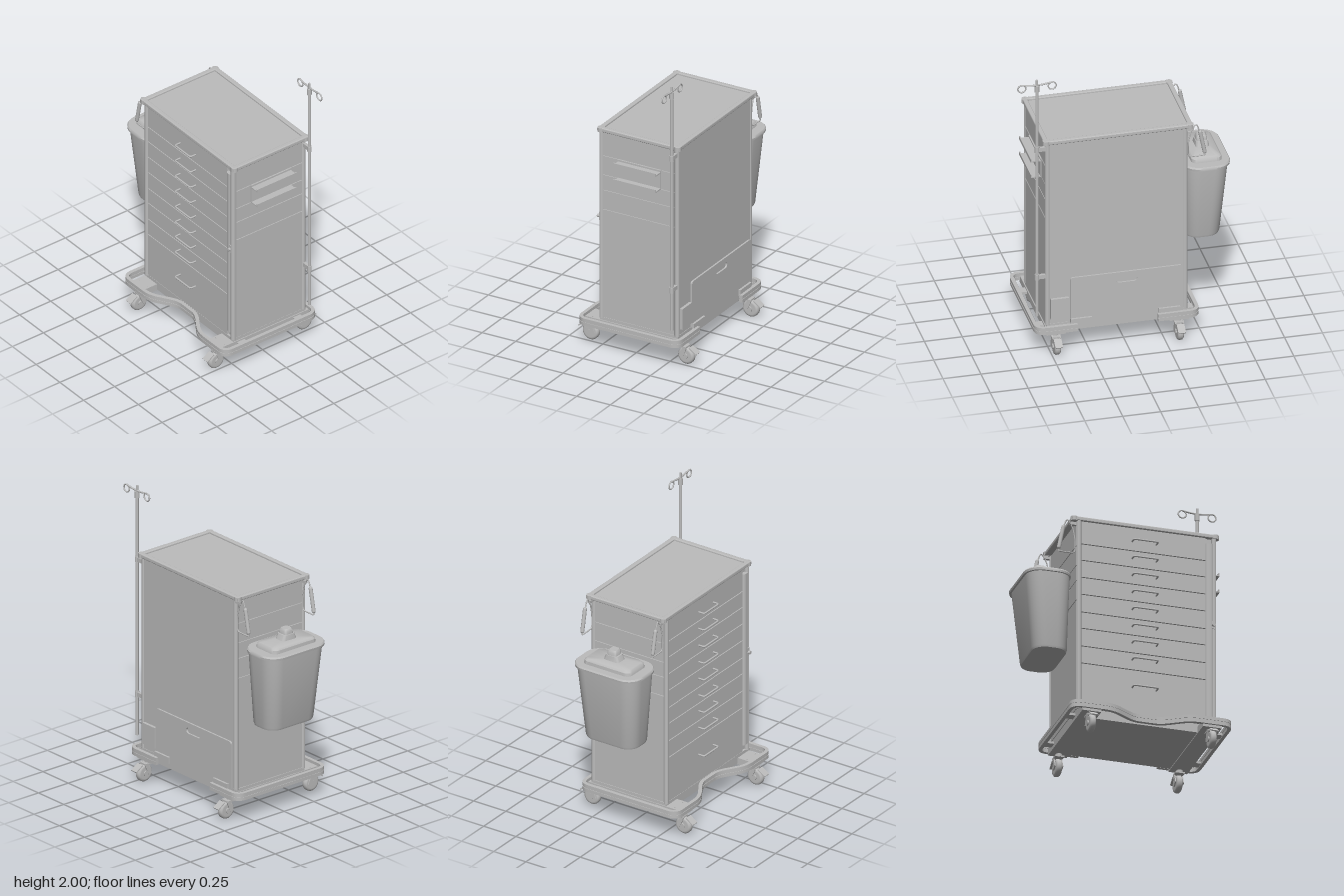
import * as THREE from 'three';
import { toCreasedNormals } from 'three/addons/utils/BufferGeometryUtils.js';

const V = (x, y, z) => new THREE.Vector3(x, y, z);

// Polyline with its corners rounded by radius r
function roundedPath(pts, r) {
  const path = new THREE.CurvePath();
  let last = pts[0];
  for (let i = 1; i < pts.length - 1; i++) {
    const p = pts[i];
    const cut = q => p.clone().lerp(q, Math.min(0.45, r / p.distanceTo(q)));
    const a = cut(pts[i - 1]), b = cut(pts[i + 1]);
    path.add(new THREE.LineCurve3(last, a));
    path.add(new THREE.QuadraticBezierCurve3(a, p, b));
    last = b;
  }
  path.add(new THREE.LineCurve3(last, pts[pts.length - 1]));
  return path;
}

// Flat strip of half width w following a plan path, extruded upward
function strip(path, w, y, h) {
  const pts = path.getPoints(8), left = [], right = [];
  pts.forEach((p, i) => {
    const a = pts[Math.max(0, i - 1)], b = pts[Math.min(pts.length - 1, i + 1)];
    const t = b.clone().sub(a).normalize();
    left.push(new THREE.Vector2(p.x - t.z * w, -(p.z + t.x * w)));
    right.unshift(new THREE.Vector2(p.x + t.z * w, -(p.z - t.x * w)));
  });
  const geo = new THREE.ExtrudeGeometry(new THREE.Shape([...left, ...right]), { depth: h, bevelEnabled: false });
  return toCreasedNormals(geo.rotateX(-Math.PI / 2).translate(0, y, 0), 0.6);
}

// Skin over rounded rectangles [y, centreX, centreZ, halfX, halfZ, radius], listed from the bottom
function loft(sections) {
  const pos = [], idx = [], n = 32;
  for (const [y, cx, cz, hx, hz, r] of sections)
    for (let j = 0; j < n; j++) {
      const q = Math.floor(j / 8), a = (q + (j % 8) / 7) * Math.PI / 2;
      const sx = q === 0 || q === 3 ? 1 : -1, sz = q < 2 ? 1 : -1;
      pos.push(cx + sx * (hx - r) + r * Math.cos(a), y, cz + sz * (hz - r) + r * Math.sin(a));
    }
  for (let i = 0; i < sections.length - 1; i++)
    for (let j = 0; j < n; j++) {
      const k = (j + 1) % n, a = i * n + j, b = i * n + k, c = a + n, d = b + n;
      idx.push(a, c, b, b, c, d);
    }
  const geo = new THREE.BufferGeometry();
  geo.setAttribute('position', new THREE.Float32BufferAttribute(pos, 3));
  geo.setIndex(idx);
  return toCreasedNormals(geo, 0.7);
}

export function createModel() {
  const model = new THREE.Group();
  const grey = new THREE.MeshStandardMaterial({ color: 0xbcbcbc });
  grey.name = 'grey';
  const add = (name, geo, parent = model) => {
    const m = new THREE.Mesh(geo, grey);
    m.name = name;
    parent.add(m);
    return m;
  };
  // Box given by its limits on each axis
  const box = (name, x0, x1, y0, y1, z0, z1, parent) => add(name,
    new THREE.BoxGeometry(x1 - x0, y1 - y0, z1 - z0).translate((x0 + x1) / 2, (y0 + y1) / 2, (z0 + z1) / 2), parent);
  const rod = (name, r, x, y0, y1, z, parent) => add(name,
    new THREE.CylinderGeometry(r, r, y1 - y0, 20).translate(x, (y0 + y1) / 2, z), parent);
  const tube = (name, pts, r, bend, parent) => add(name,
    new THREE.TubeGeometry(roundedPath(pts, bend), 64, r, 8), parent);

  // Cabinet with corner posts
  box('cabinet', -0.395, 0.522, 0.2, 1.53, -0.322, 0.24);
  for (const x of [-0.39, 0.516]) for (const z of [-0.312, 0.249]) rod('cornerPost', 0.016, x, 0.2, 1.53, z);

  // Worktop: recessed sheet, rounded rim and corner bumpers
  box('worktop', -0.43, 0.535, 1.525, 1.54, -0.33, 0.255);
  const rim = new THREE.Shape(), hole = new THREE.Path();
  const outline = (s, x0, x1, y0, y1) => { s.moveTo(x0, y0); s.lineTo(x1, y0); s.lineTo(x1, y1); s.lineTo(x0, y1); s.closePath(); };
  outline(rim, -0.433, 0.538, -0.26, 0.335);
  outline(hole, -0.413, 0.518, -0.24, 0.315);
  rim.holes.push(hole);
  add('worktopRim', new THREE.ExtrudeGeometry(rim, { depth: 0.014, bevelThickness: 0.007, bevelSize: 0.006, bevelSegments: 3 })
    .rotateX(-Math.PI / 2).translate(0, 1.532, 0));
  for (const x of [-0.421, 0.526]) for (const z of [-0.322, 0.247]) rod('cornerBumper', 0.024, x, 1.523, 1.552, z);

  // Drawers with bar handles
  const edges = [1.527, 1.365, 1.25, 1.13, 1.01, 0.885, 0.77, 0.645, 0.525, 0.205];
  const grips = [1.43, 1.31, 1.19, 1.07, 0.95, 0.83, 0.715, 0.595, 0.4];
  grips.forEach((y, i) => {
    box('drawerFront', -0.374, 0.458, edges[i + 1] + 0.003, edges[i] - 0.003, 0.23, 0.255);
    tube('drawerHandle', [V(-0.034, y, 0.25), V(-0.034, y, 0.298), V(0.129, y, 0.298), V(0.129, y, 0.25)], 0.006, 0.015);
  });

  // Locking bar and its lock
  add('lockingBar', new THREE.CylinderGeometry(0.028, 0.028, 1.235, 24).scale(1, 1, 0.7).translate(0.487, 0.868, 0.248));
  add('lock', new THREE.CylinderGeometry(0.011, 0.011, 0.03, 16).rotateX(Math.PI / 2).translate(0.508, 0.91, 0.27));
  box('lockHasp', 0.498, 0.518, 0.885, 0.94, 0.255, 0.27);

  // Side panels, mirrored on both sides
  for (const [y0, y1] of [[1.36, 1.52], [1.223, 1.352], [1.115, 1.217], [0.98, 1.109], [0.21, 0.972]]) {
    box('sidePanelLeft', 0.515, 0.528, y0, y1, -0.297, 0.232);
    box('sidePanelRight', -0.402, -0.39, y0, y1, -0.297, 0.232);
  }

  // Lipped glove-box holder on the left side
  for (const [y, lip] of [[1.335, -1], [1.22, 1]]) {
    box('holderShelf', 0.525, 0.598, y, y + 0.008, -0.2, 0.117);
    box('holderLip', 0.59, 0.598, y, y + 0.022, -0.2, 0.117);
  }
  box('holderBack', 0.525, 0.535, 1.22, 1.355, -0.2, 0.117);

  // Drip pole with clamps and two ring hooks
  const pole = new THREE.Group();
  pole.name = 'dripPole';
  model.add(pole);
  rod('poleTube', 0.0105, 0.585, 0.27, 1.93, -0.312, pole);
  rod('poleTip', 0.008, 0.585, 1.9, 2, -0.312, pole);
  rod('poleCollar', 0.016, 0.585, 1.915, 1.96, -0.312, pole);
  for (const y of [1.49, 0.555]) {
    box('poleBracket', 0.515, 0.585, y - 0.014, y + 0.014, -0.322, -0.302, pole);
    rod('poleClamp', 0.015, 0.585, y - 0.02, y + 0.02, -0.312, pole);
  }
  tube('hookBar', [V(0.485, 1.975, -0.315), V(0.55, 1.965, -0.315), V(0.62, 1.965, -0.315), V(0.685, 1.975, -0.315)], 0.006, 0.02, pole);
  for (const x of [0.485, 0.685])
    add('hookRing', new THREE.TorusGeometry(0.026, 0.005, 8, 28).translate(x, 1.95, -0.315), pole);

  // Back board with a hand slot, and its brackets
  const board = new THREE.Shape();
  board.moveTo(-0.37, 0.205);
  board.lineTo(0.37, 0.205);
  board.lineTo(0.37, 0.51);
  board.quadraticCurveTo(0.37, 0.53, 0.35, 0.53);
  board.lineTo(-0.35, 0.53);
  board.quadraticCurveTo(-0.37, 0.53, -0.37, 0.51);
  const slot = new THREE.Path();
  slot.absarc(0.05, 0.475, 0.02, -Math.PI / 2, Math.PI / 2);
  slot.absarc(-0.05, 0.475, 0.02, Math.PI / 2, Math.PI * 1.5);
  board.holes.push(slot);
  add('backBoard', new THREE.ExtrudeGeometry(board, { depth: 0.012, bevelEnabled: false }).translate(0, 0, -0.337));
  box('cordBracket', 0.38, 0.5, 0.245, 0.39, -0.342, -0.32);
  for (const x of [-0.28, 0.3]) box('boardBracket', x - 0.07, x + 0.07, 0.19, 0.235, -0.352, -0.337);

  // Base pan, cross channels and grooved bumper rail
  box('basePan', -0.4, 0.525, 0.145, 0.206, -0.325, 0.255);
  for (const x of [-0.342, 0.468]) {
    box('baseChannel', x - 0.063, x + 0.063, 0.138, 0.185, -0.355, 0.374);
    for (const s of [-1, 1]) rod('channelBolt', 0.006, x + s * 0.045, 0.18, 0.188, 0.315);
  }
  const rails = [
    [[-0.2, -0.36], [-0.467, -0.36], [-0.467, 0.376], [-0.2, 0.376], [-0.03, 0.268], [0.06, 0.268]],
    [[0.33, -0.36], [0.594, -0.36], [0.594, 0.376], [0.32, 0.376], [0.155, 0.268], [0.06, 0.268]],
  ];
  for (const r of rails) {
    const path = roundedPath(r.map(([x, z]) => V(x, 0, z)), 0.06);
    add('bumperLower', strip(path, 0.012, 0.155, 0.022));
    add('bumperGroove', strip(path, 0.009, 0.176, 0.008));
    add('bumperUpper', strip(path, 0.012, 0.183, 0.022));
  }
  for (const x of [-0.43, 0.56]) for (const z of [-0.25, 0.2]) box('bumperMount', x - 0.035, x + 0.035, 0.16, 0.175, z - 0.03, z + 0.03);

  // Casters with fork, hood and brake pedal
  for (const x of [-0.342, 0.468]) for (const s of [-1, 1]) {
    const caster = new THREE.Group();
    caster.name = 'caster';
    caster.position.set(x, 0, s * 0.355);
    caster.rotation.y = s < 0 ? Math.PI : 0;
    model.add(caster);
    const profile = [[0, -0.02], [0.04, -0.02], [0.05, -0.019], [0.058, -0.01], [0.058, 0.01], [0.05, 0.019], [0.04, 0.02], [0, 0.02]];
    add('wheel', new THREE.LatheGeometry(profile.map(p => new THREE.Vector2(...p)), 32).rotateZ(Math.PI / 2).translate(0, 0.058, 0), caster);
    add('hub', new THREE.CylinderGeometry(0.018, 0.018, 0.056, 16).rotateZ(Math.PI / 2).translate(0, 0.058, 0), caster);
    rod('swivelStem', 0.022, 0, 0.118, 0.14, -0.035, caster);
    box('forkTop', -0.03, 0.03, 0.115, 0.125, -0.055, 0.01, caster);
    for (const t of [-1, 1])
      add('forkArm', new THREE.BoxGeometry(0.007, 0.08, 0.026).rotateX(0.4).translate(t * 0.026, 0.087, -0.014), caster);
    add('brakePedal', new THREE.BoxGeometry(0.05, 0.008, 0.065).rotateX(0.6).translate(0, 0.103, 0.056), caster);
  }

  // Waste bin with a rim, domed lid and spout
  const cz = -0.037;
  add('bin', loft([
    [0.655, -0.537, cz, 0, 0, 0], [0.655, -0.537, cz, 0.112, 0.195, 0.085], [0.67, -0.537, cz, 0.118, 0.2, 0.09],
    [1.17, -0.556, cz, 0.146, 0.24, 0.1], [1.17, -0.556, cz, 0, 0, 0]]));
  add('binRim', loft([
    [1.168, -0.56, cz, 0, 0, 0], [1.168, -0.56, cz, 0.155, 0.252, 0.11], [1.183, -0.56, cz, 0.157, 0.253, 0.11],
    [1.193, -0.56, cz, 0.15, 0.246, 0.105], [1.193, -0.56, cz, 0, 0, 0]]));
  add('binLid', loft([
    [1.19, -0.562, cz, 0.102, 0.184, 0.04], [1.215, -0.562, cz, 0.1, 0.18, 0.04], [1.227, -0.562, cz, 0.088, 0.168, 0.035],
    [1.235, -0.562, cz, 0.045, 0.06, 0.025], [1.27, -0.562, cz, 0.04, 0.045, 0.02], [1.275, -0.562, cz, 0, 0, 0]]));
  add('binCap', loft([
    [1.265, -0.562, cz, 0.036, 0.036, 0.015], [1.295, -0.562, cz, 0.034, 0.034, 0.015],
    [1.306, -0.562, cz, 0.026, 0.026, 0.012], [1.306, -0.562, cz, 0, 0, 0]]));
  box('binMount', -0.45, -0.395, 1.1, 1.16, -0.15, 0.08);

  // Folding wire arms with grips on the right side
  for (const z of [-0.315, 0.232]) {
    tube('wireArm', [V(-0.52, 1.305, z), V(-0.485, 1.49, z), V(-0.463, 1.545, z), V(-0.425, 1.48, z),
      V(-0.41, 1.4, z), V(-0.41, 1.305, z), V(-0.52, 1.305, z)], 0.0045, 0.025);
    add('armGrip', new THREE.CapsuleGeometry(0.013, 0.15, 4, 12).rotateZ(-0.2).translate(-0.504, 1.405, z));
    box('armMount', -0.445, -0.39, 1.5, 1.52, z - 0.01, z + 0.01);
  }

  return model;
}
